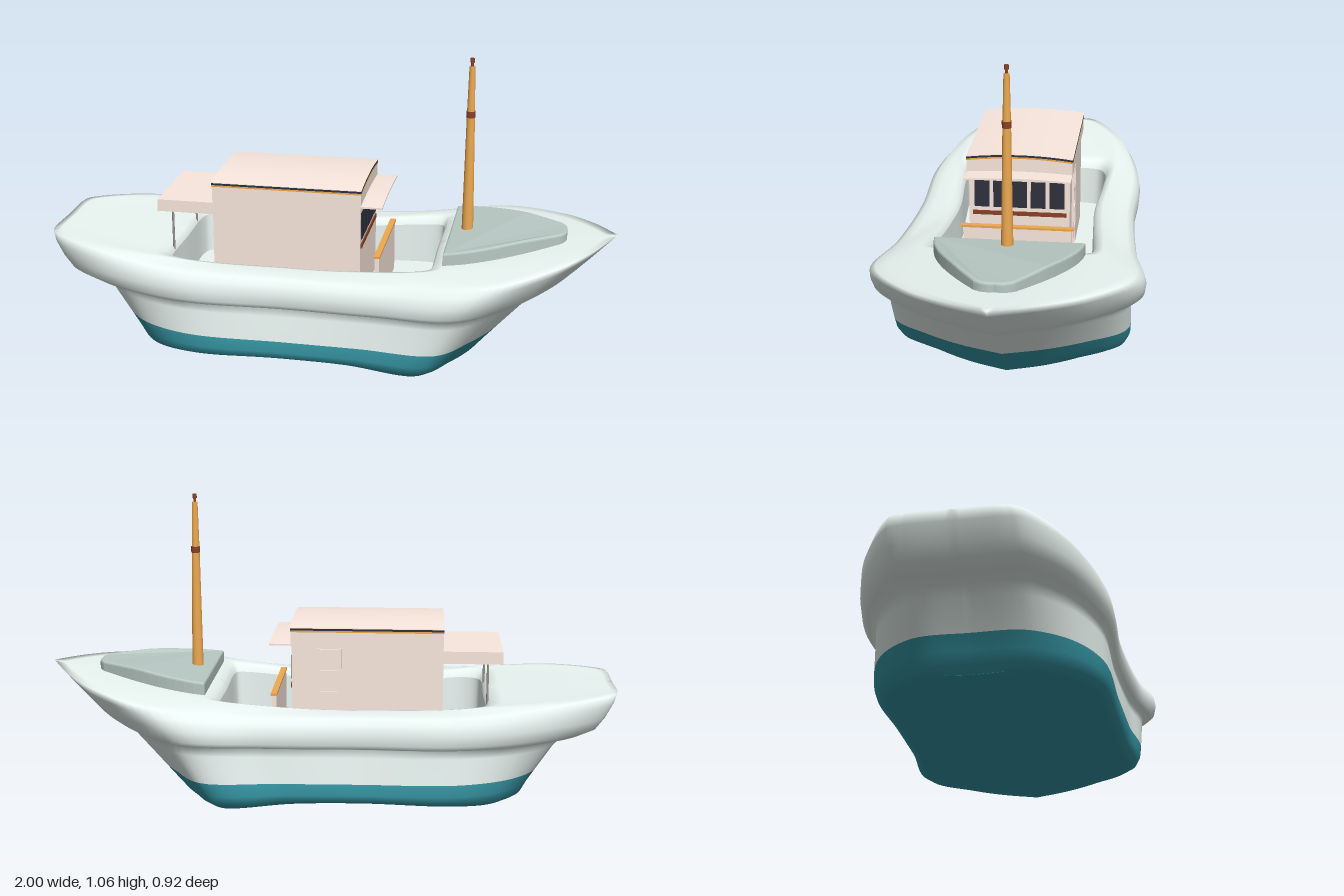
import * as THREE from 'three';

const PALE = 0xebf6f3, TEAL = 0x389aa9, CABIN = 0xfae8de, WOOD = 0xeeaa52, BROWN = 0x8a4226, DARK = 0x2f313c, PLATE = 0xb9c9c4;

function mesh(name, geometry, color) {
  const m = new THREE.Mesh(geometry, new THREE.MeshStandardMaterial({ color }));
  m.name = name;
  return m;
}

// Box given by its minimum and maximum corners
function box(name, [x0, x1], [y0, y1], [z0, z1], color) {
  const m = mesh(name, new THREE.BoxGeometry(x1 - x0, y1 - y0, z1 - z0), color);
  m.position.set((x0 + x1) / 2, (y0 + y1) / 2, (z0 + z1) / 2);
  return m;
}

function post(name, x, z, y0, y1, rBottom, rTop, color, sides = 16) {
  const m = mesh(name, new THREE.CylinderGeometry(rTop, rBottom, y1 - y0, sides), color);
  m.position.set(x, (y0 + y1) / 2, z);
  return m;
}

// Slab running fore and aft, cambered across the boat
function camberedSlab(name, x0, x1, halfWidth, y0, y1, camber, color) {
  const s = new THREE.Shape();
  s.moveTo(-halfWidth, y0);
  s.quadraticCurveTo(0, y0 + 2 * camber, halfWidth, y0);
  s.lineTo(halfWidth, y1);
  s.quadraticCurveTo(0, y1 + 2 * camber, -halfWidth, y1);
  s.closePath();
  const g = new THREE.ExtrudeGeometry(s, { depth: x1 - x0, bevelEnabled: false, curveSegments: 16 });
  g.rotateY(Math.PI / 2).translate(x0, 0, 0);
  return mesh(name, g, color);
}

// Half plans from stern to bow: length fraction and width fraction
const PLANS = [
  { // bottom
    u: [0, 0, 0.02, 0.08, 0.2, 0.45, 0.65, 0.85, 0.92, 0.965, 1],
    w: [0, 0.35, 0.53, 0.77, 0.95, 0.98, 0.99, 1, 0.66, 0.36, 0],
  },
  { // rail
    u: [0, 0, 0.008, 0.1, 0.25, 0.45, 0.63, 0.79, 0.9, 0.957, 1],
    w: [0, 0.36, 0.46, 0.72, 0.885, 0.875, 0.925, 1, 0.68, 0.36, 0],
  },
  { // well
    u: [0, 0, 0.015, 0.07, 0.2, 0.45, 0.65, 0.95, 0.99, 1, 1],
    w: [0, 0.75, 0.9, 0.99, 0.98, 0.92, 0.95, 1, 0.95, 0.85, 0],
  },
];

// Hull levels: plan blend, stern x, bow x, height at stern, middle and bow, half width
const LEVELS = [
  [0, -0.64, 0.5, 0.018, 0.034, 0, 0],
  [0, -0.65, 0.515, 0.024, 0.047, 0.002, 0.352],
  [0.03, -0.68, 0.55, 0.042, 0.06, 0.032, 0.382],
  [0.08, -0.7, 0.585, 0.08, 0.085, 0.072, 0.394],
  [0.2, -0.73, 0.635, 0.125, 0.125, 0.125, 0.397],
  [0.5, -0.79, 0.745, 0.215, 0.215, 0.24, 0.4],
  [0.7, -0.82, 0.79, 0.248, 0.243, 0.282, 0.405],
  [0.9, -0.88, 0.83, 0.257, 0.249, 0.292, 0.432],
  [0.96, -0.93, 0.865, 0.28, 0.265, 0.315, 0.448],
  [1, -0.96, 0.91, 0.32, 0.3, 0.36, 0.453],
  [1, -0.988, 0.965, 0.37, 0.334, 0.417, 0.446],
  [1, -1, 1, 0.402, 0.35, 0.453, 0.422],
  [1, -0.975, 0.965, 0.403, 0.356, 0.447, 0.39],
  [2, -0.6, 0.42, 0.382, 0.357, 0.395, 0.305],
  [2, -0.56, 0.385, 0.373, 0.352, 0.385, 0.282],
  [2, -0.546, 0.372, 0.345, 0.33, 0.355, 0.27],
  [2, -0.543, 0.368, 0.2, 0.2, 0.2, 0.267],
  [2, -0.543, 0.368, 0.2, 0.2, 0.2, 0],
];

const mix = THREE.MathUtils.lerp;

function levelCurve([t, xs, xb, ys, ym, yb, width]) {
  const i = Math.min(1, Math.floor(t)), f = t - i;
  return new THREE.CatmullRomCurve3(PLANS[0].u.map((_, k) => {
    const u = mix(PLANS[i].u[k], PLANS[i + 1].u[k], f);
    const w = mix(PLANS[i].w[k], PLANS[i + 1].w[k], f);
    const aft = THREE.MathUtils.smoothstep(0.35 - u, 0, 0.35);
    const fore = Math.max(0, (u - 0.55) / 0.45) ** 1.5;
    return new THREE.Vector3(mix(xs, xb, u), ym + (ys - ym) * aft + (yb - ym) * fore, w * width);
  }));
}

// Skin between two levels, as two mirrored halves
function hullSkin(name, from, to, color) {
  const group = new THREE.Group(), N = 80;
  group.name = name;
  const rows = LEVELS.slice(from, to + 1).map(l => levelCurve(l).getPoints(N));
  for (const side of [1, -1]) {
    const pos = [], index = [];
    rows.forEach(row => row.forEach(p => pos.push(p.x, p.y, p.z * side)));
    for (let i = 0; i < rows.length - 1; i++) for (let j = 0; j < N; j++) {
      const a = i * (N + 1) + j, b = a + 1, c = a + N + 1, d = c + 1;
      if (side > 0) index.push(a, b, c, b, d, c);
      else index.push(a, c, b, b, c, d);
    }
    const g = new THREE.BufferGeometry();
    g.setAttribute('position', new THREE.Float32BufferAttribute(pos, 3));
    g.setIndex(index);
    g.computeVertexNormals();
    group.add(mesh(name + (side > 0 ? 'Starboard' : 'Port'), g, color));
  }
  return group;
}

// Raised plate on the foredeck, rising toward the bow
function foredeckPlate() {
  const s = new THREE.Shape();
  s.moveTo(0.425, -0.245);
  s.bezierCurveTo(0.55, -0.235, 0.68, -0.15, 0.8, -0.06);
  s.quadraticCurveTo(0.825, -0.03, 0.815, 0);
  s.quadraticCurveTo(0.825, 0.03, 0.8, 0.06);
  s.bezierCurveTo(0.68, 0.15, 0.55, 0.235, 0.425, 0.245);
  s.closePath();
  const g = new THREE.ExtrudeGeometry(s, { depth: 0.06, bevelSize: 0.008, bevelThickness: 0.008, bevelSegments: 3 });
  g.rotateX(-Math.PI / 2);
  const p = g.attributes.position;
  for (let i = 0; i < p.count; i++) {
    p.setY(i, p.getY(i) + 0.37 + 0.027 * THREE.MathUtils.clamp((p.getX(i) - 0.42) / 0.25, 0, 1));
  }
  g.computeVertexNormals();
  return mesh('foredeckPlate', g, PLATE);
}

function createCabin() {
  const cabin = new THREE.Group();
  cabin.name = 'cabin';
  cabin.add(
    box('cabinWalls', [-0.4, 0.123], [0.2, 0.565], [-0.177, 0.177], CABIN),
    camberedSlab('roofFascia', -0.4, 0.126, 0.185, 0.555, 0.606, 0.012, CABIN),
    camberedSlab('roofWoodTrim', -0.402, 0.128, 0.187, 0.606, 0.612, 0.012, WOOD),
    camberedSlab('roofDarkTrim', -0.402, 0.128, 0.187, 0.612, 0.619, 0.012, DARK),
    camberedSlab('roofTop', -0.402, 0.128, 0.187, 0.619, 0.621, 0.012, CABIN),
    camberedSlab('windowVisor', 0.12, 0.2, 0.185, 0.558, 0.564, 0.007, CABIN),
    box('windowSill', [0.115, 0.127], [0.405, 0.42], [-0.165, 0.165], BROWN),
  );
  // Front windows
  for (let i = -2; i <= 2; i++) {
    const z = i * 0.066;
    cabin.add(box('window', [0.115, 0.126], [0.435, 0.532], [z - 0.026, z + 0.026], DARK));
  }
  // Side ladder
  for (const x of [-0.045, 0.03]) cabin.add(box('ladderRail', [x - 0.005, x + 0.005], [0.2, 0.55], [-0.185, -0.177], CABIN));
  for (let i = 0; i < 5; i++) {
    const y = 0.235 + i * 0.075;
    cabin.add(box('ladderRung', [-0.045, 0.03], [y, y + 0.01], [-0.185, -0.177], CABIN));
  }
  // Aft awning with skirt boards and posts
  cabin.add(
    box('awningTop', [-0.605, -0.4], [0.528, 0.54], [-0.167, 0.167], CABIN),
    box('awningAftBoard', [-0.605, -0.595], [0.497, 0.53], [-0.167, 0.167], CABIN),
  );
  for (const s of [1, -1]) {
    const z = s * 0.162;
    cabin.add(box('awningSideBoard', [-0.605, -0.4], [0.497, 0.53], [z - 0.005, z + 0.005], CABIN));
    cabin.add(post('awningPost', -0.554, s * 0.15, 0.2, 0.53, 0.004, 0.004, 0x99938d, 10));
  }
  return cabin;
}

function createMast() {
  const mast = new THREE.Group(), x = 0.477;
  mast.name = 'mast';
  mast.add(
    post('lowerMast', x, 0, 0.4, 0.86, 0.021, 0.014, WOOD),
    post('mastBand', x, 0, 0.85, 0.872, 0.016, 0.016, BROWN),
    post('upperMast', x, 0, 0.86, 1.03, 0.014, 0.01, WOOD),
    post('mastNeck', x, 0, 1.03, 1.045, 0.005, 0.005, BROWN),
    post('mastCap', x, 0, 1.043, 1.058, 0.008, 0.007, BROWN),
  );
  return mast;
}

export function createModel() {
  const boat = new THREE.Group();
  boat.name = 'fishingBoat';
  boat.add(
    hullSkin('hullBottom', 0, 4, TEAL),
    hullSkin('hullTopsides', 4, 15, PALE),
    hullSkin('wellWall', 15, 16, PALE),
    hullSkin('wellFloor', 16, 17, PALE),
    foredeckPlate(), createCabin(), createMast(),
    // Low board standing ahead of the cabin
    box('frontBoard', [0.176, 0.192], [0.2, 0.382], [-0.19, 0.19], CABIN),
    box('frontBoardRail', [0.174, 0.195], [0.382, 0.39], [-0.198, 0.198], WOOD),
  );
  return boat;
}
